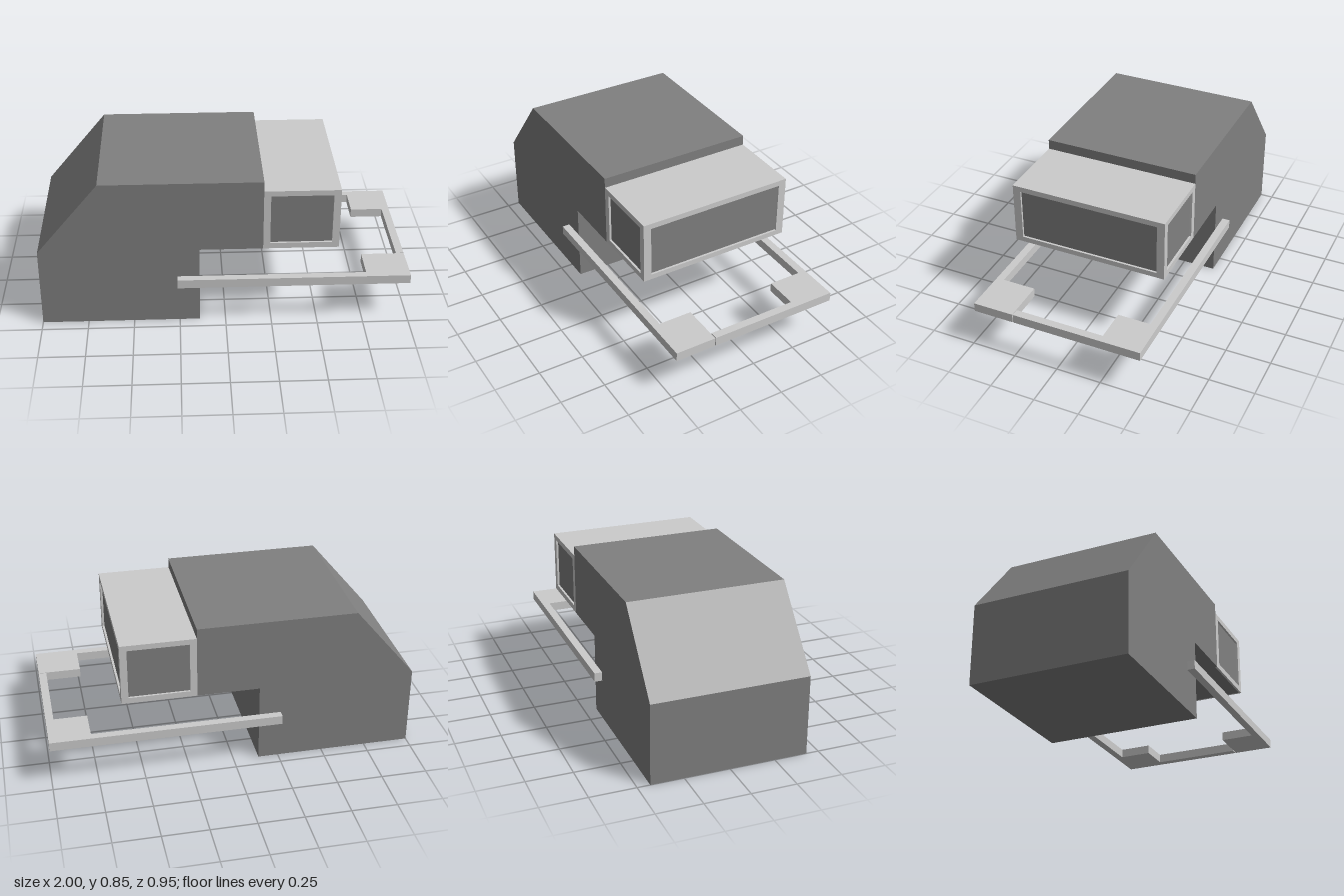
import * as THREE from 'three';

const light = new THREE.MeshStandardMaterial({ color: 0xcccccc, flatShading: true });
const dark = new THREE.MeshStandardMaterial({ color: 0x808080, flatShading: true });

const toPoints = (pairs) => pairs.map(([x, y]) => new THREE.Vector2(x, y));

// Flat prism from an outline, with an optional hole
function prism(outline, depth, hole) {
  const shape = new THREE.Shape(toPoints(outline));
  if (hole) shape.holes.push(new THREE.Path(toPoints(hole)));
  return new THREE.ExtrudeGeometry(shape, { depth, bevelEnabled: false });
}

const rect = (x0, y0, x1, y1) => [[x0, y0], [x1, y0], [x1, y1], [x0, y1]];

function boxBetween(x0, x1, y0, y1, z0, z1) {
  return new THREE.BoxGeometry(x1 - x0, y1 - y0, z1 - z0)
    .translate((x0 + x1) / 2, (y0 + y1) / 2, (z0 + z1) / 2);
}

export function createModel() {
  const group = new THREE.Group();
  const add = (name, geometry, material) => {
    const mesh = new THREE.Mesh(geometry, material);
    mesh.name = name;
    group.add(mesh);
    return mesh;
  };

  const half = 0.431, inset = 0.012;
  const noseBack = 0.2, noseFront = 0.605, noseLow = 0.445, noseTop = 0.79;

  // Main housing with sloped back and overhanging head
  const profile = [
    [-1, 0], [-0.14, 0], [-0.14, noseLow], [noseBack, noseLow],
    [noseBack, 0.845], [-0.665, 0.845], [-1, 0.445],
  ];
  add('housing', prism(profile, 2 * half).translate(0, 0, -half), dark);

  // Nose: dark core behind the window frames, with a light roof
  add('noseCore', boxBetween(noseBack, noseFront - inset, noseLow, noseTop - inset,
    -half + inset, half - inset), dark);
  add('noseRoof', boxBetween(noseBack, noseFront - inset, noseTop - inset, noseTop,
    -half + inset, half - inset), light);

  // Side window frames
  for (const side of [-1, 1]) {
    const frame = prism(rect(noseBack, noseLow, noseFront, noseTop), inset,
      rect(0.237, 0.477, 0.567, 0.76));
    frame.translate(0, 0, side > 0 ? half - inset : -half);
    add(side > 0 ? 'frontWindowFrame' : 'backWindowFrame', frame, light);
  }

  // End window frame, facing +x
  const endFrame = prism(rect(-half + inset, noseLow, half - inset, noseTop), inset,
    rect(-0.388, 0.474, 0.388, 0.76));
  endFrame.rotateY(Math.PI / 2).translate(noseFront - inset, 0, 0);
  add('endWindowFrame', endFrame, light);

  // Surrounding rail, outlined in x and z, in two pieces split by a fine seam
  const rail = (name, outline) => {
    add(name, prism(outline, 0.05).rotateX(Math.PI / 2).translate(0, 0.28, 0), light);
  };
  rail('backRail', [
    [-0.26, -0.474], [1, -0.474], [1, 0.243], [0.957, 0.243],
    [0.957, -0.25], [0.775, -0.25], [0.775, -half], [-0.26, -half],
  ]);
  rail('frontRail', [
    [-0.26, half], [0.762, half], [0.762, 0.247], [1, 0.247],
    [1, 0.473], [-0.26, 0.473],
  ]);

  return group;
}
